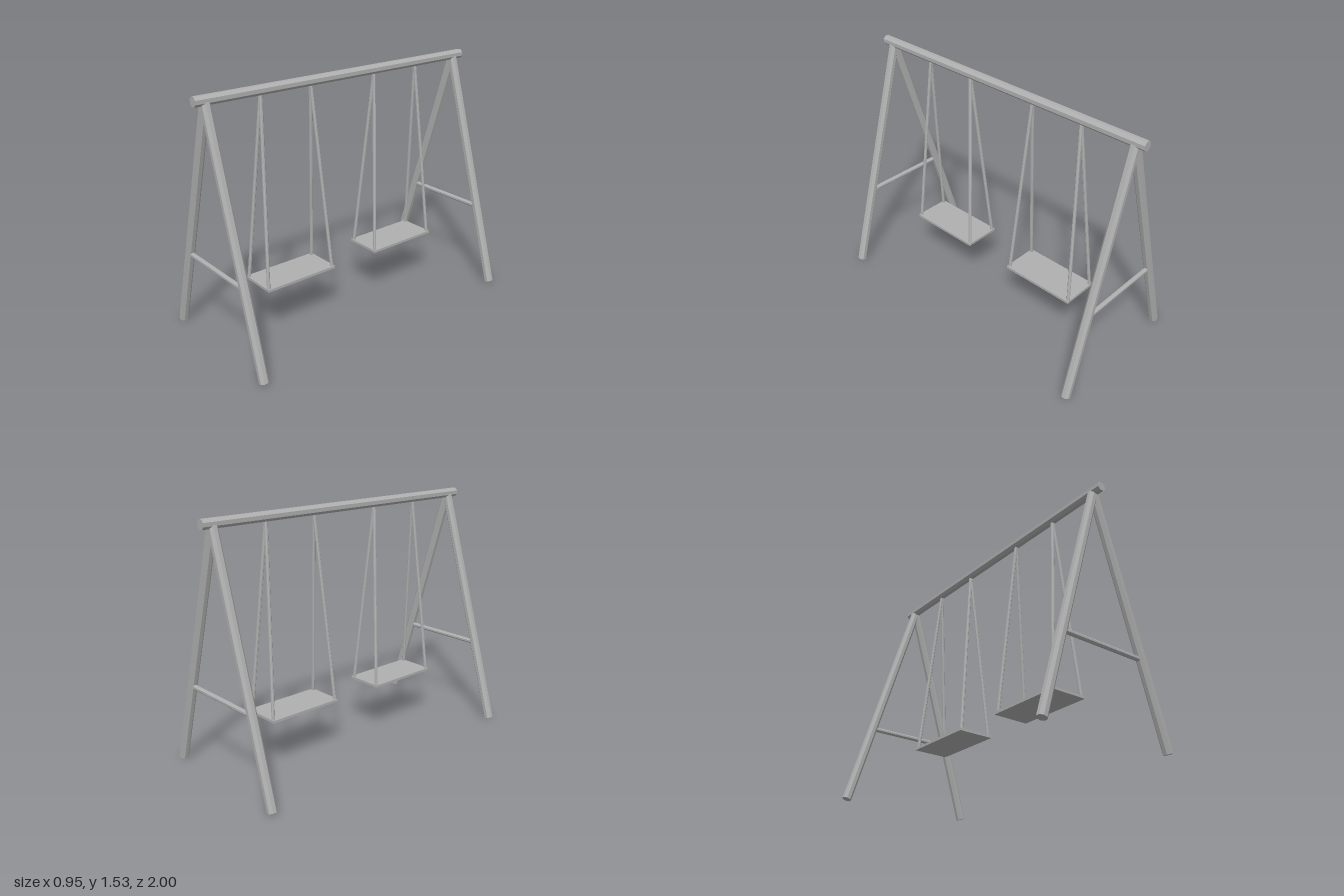
import * as THREE from 'three';

export function createModel() {
  const model = new THREE.Group();
  model.name = 'swingSet';
  const steel = new THREE.MeshStandardMaterial({ color: 0xb0b0b0, flatShading: true });
  steel.name = 'grey steel';

  // Straight faceted tube between two points
  function bar(name, a, b, radius, parent) {
    const start = new THREE.Vector3(...a);
    const dir = new THREE.Vector3(...b).sub(start);
    const geometry = new THREE.CylinderGeometry(radius, radius, dir.length(), 8);
    geometry.rotateY(Math.PI / 8);
    const mesh = new THREE.Mesh(geometry, steel);
    mesh.name = name;
    mesh.position.copy(start).addScaledVector(dir, 0.5);
    mesh.quaternion.setFromUnitVectors(new THREE.Vector3(0, 1, 0), dir.normalize());
    parent.add(mesh);
  }

  // Top beam
  bar('topBeam', [0, 1.502, -1], [0, 1.502, 1], 0.03, model);

  for (const end of [1, -1]) {
    // A-frame: two splayed legs and a cross brace
    const frame = new THREE.Group();
    frame.name = end > 0 ? 'frontFrame' : 'backFrame';
    const z = 0.93 * end;
    for (const side of [1, -1]) {
      bar(side > 0 ? 'leftLeg' : 'rightLeg', [0.447 * side, 0.008, z], [0, 1.495, z], 0.029, frame);
    }
    bar('crossBrace', [-0.29, 0.515, z], [0.29, 0.515, z], 0.015, frame);
    model.add(frame);

    // Swing: flat seat hung from four slanted rods
    const swing = new THREE.Group();
    swing.name = end > 0 ? 'frontSwing' : 'backSwing';
    const seat = new THREE.Mesh(new THREE.BoxGeometry(0.238, 0.016, 0.495), steel);
    seat.name = 'seat';
    seat.position.set(0, 0.338, 0.413 * end);
    swing.add(seat);
    for (const [top, bottom] of [[0.243, 0.178], [0.585, 0.65]]) {
      for (const side of [1, -1]) {
        bar('hanger', [0.103 * side, 0.34, bottom * end], [0, 1.495, top * end], 0.0105, swing);
      }
    }
    model.add(swing);
  }
  return model;
}
